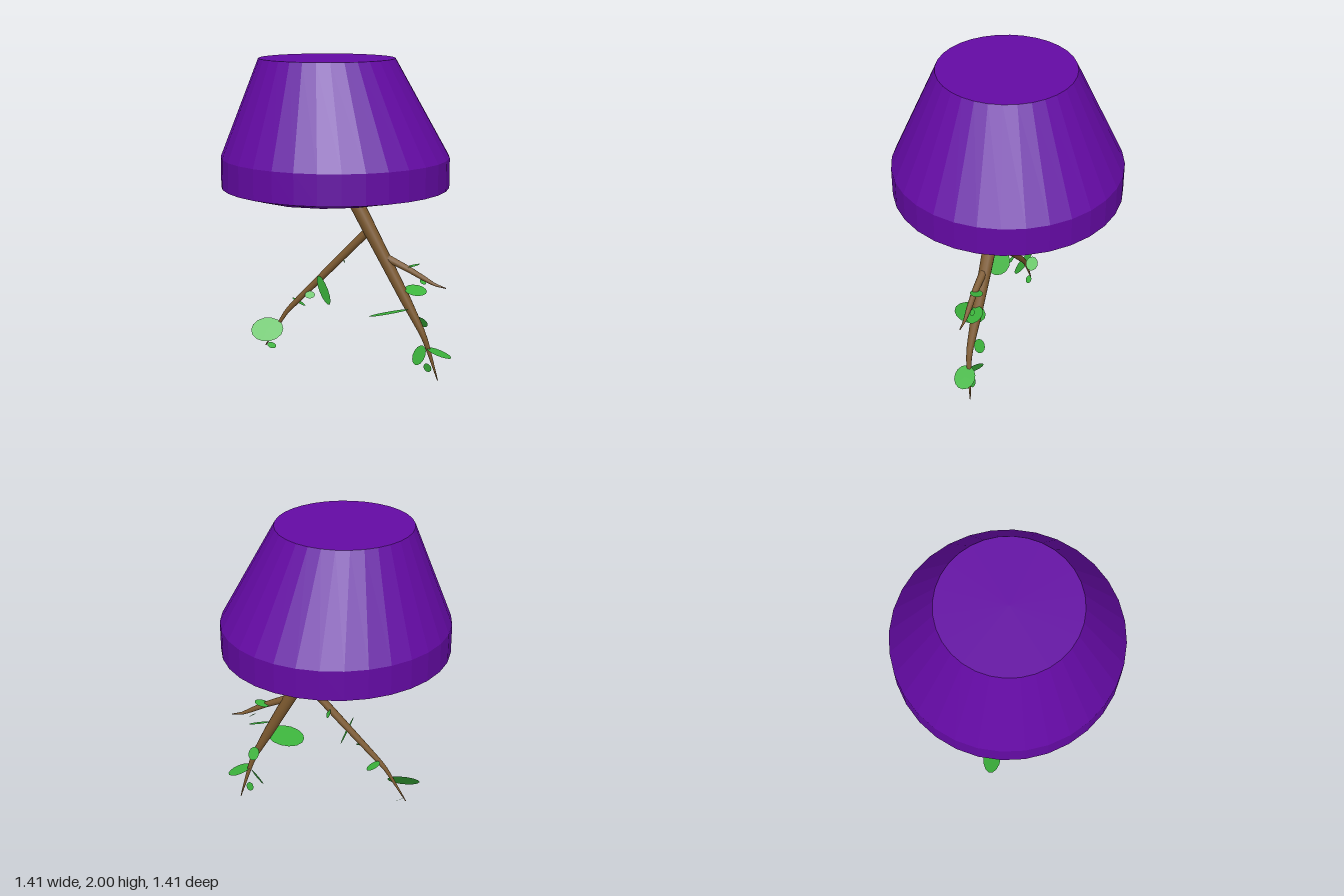
import * as THREE from 'three';

const V = (a) => new THREE.Vector3(...a);
const material = (name, color, flatShading) => {
  const m = new THREE.MeshStandardMaterial({ color, flatShading });
  m.name = name;
  return m;
};

export function createModel() {
  const purple = material('purple glaze', 0x640aa4, true);
  const indigo = material('indigo lining', 0x4410a0, true);
  const bark = material('bark brown', 0x7c592f, false);
  const green = material('leaf green', 0x3cb43c, true);
  green.side = THREE.DoubleSide;

  const model = new THREE.Group();
  model.name = 'hangingPlanter';
  const add = (name, geometry, mat, parent = model) => {
    const mesh = new THREE.Mesh(geometry, mat);
    mesh.name = name;
    parent.add(mesh);
    return mesh;
  };

  // Upside-down pot: turned profiles with a slightly offset base and a sixteen-sided mouth
  const side = Math.PI / 8;
  const turned = (profile, segments) => {
    const g = new THREE.LatheGeometry(profile.map(([r, y]) => new THREE.Vector2(r, y)), segments);
    const p = g.attributes.position;
    for (let i = 0; i < p.count; i++) {
      let x = p.getX(i), y = p.getY(i), z = p.getZ(i);
      if (y < 1.2) {
        const t = (Math.atan2(x, z) + 2 * Math.PI + 1e-5) % side;
        const k = Math.cos(side / 2) / Math.cos(t - side / 2);
        x *= k;
        z *= k;
        y += 0.018 * x;
      }
      if (y > 1.4) x -= 0.052 * (y - 1.4) / 0.6;
      p.setXYZ(i, x, y, z);
    }
    g.computeVertexNormals();
    return g;
  };
  const pot = new THREE.Group();
  pot.name = 'pot';
  model.add(pot);
  add('potShell', turned([[0.53, 1.172], [0.705, 1.215], [0.705, 1.4], [0.417, 2], [0, 2]], 32), purple, pot);
  add('potLining', turned([[0.48, 1.485], [0.53, 1.172]], 16), indigo, pot);
  add('soil', turned([[0, 1.485], [0.48, 1.485]], 16), bark, pot);

  // Tapering limbs: a tube along a curve, each ring scaled to its own radius
  const limb = (name, points, radii, sides) => {
    const curve = new THREE.CatmullRomCurve3(points.map(V), false, 'catmullrom', 0.15);
    const steps = 24;
    const g = new THREE.TubeGeometry(curve, steps, 1, sides);
    const p = g.attributes.position;
    const v = new THREE.Vector3();
    for (let i = 0; i < p.count; i++) {
      const u = Math.floor(i / (sides + 1)) / steps;
      const f = u * (radii.length - 1);
      const k = Math.min(Math.floor(f), radii.length - 2);
      const r = THREE.MathUtils.lerp(radii[k], radii[k + 1], f - k);
      const c = curve.getPointAt(u);
      v.fromBufferAttribute(p, i).sub(c).multiplyScalar(r).add(c);
      p.setXYZ(i, v.x, v.y, v.z);
    }
    add(name, g, bark);
  };
  limb('stem', [[-0.06, 1.5, -0.02], [0.085, 1.17, 0.07], [0.275, 0.76, 0.185], [0.485, 0.3, 0.315], [0.58, 0, 0.325]],
    [0.05, 0.045, 0.033, 0.003], 12);
  limb('longBranch', [[0.18, 0.94, 0.12], [-0.05, 0.66, -0.02], [-0.28, 0.38, -0.155], [-0.41, 0.14, -0.22]],
    [0.026, 0.024, 0.018, 0.003], 10);
  limb('shortBranch', [[0.26, 0.79, 0.18], [0.4, 0.715, 0.265], [0.54, 0.63, 0.34], [0.605, 0.61, 0.38]],
    [0.025, 0.021, 0.016, 0.003], 10);

  // Leaves: centre, facing direction, length
  const leaves = [
    [[-0.09, 0.56, 0.06], [0.82, 0.4, 0.4], 0.195],
    [[-0.41, 0.262, -0.165], [-0.3, 0.65, 0.7], 0.21],
    [[0.445, 0.58, 0.27], [0, 0.9, 0.4], 0.14],
    [[0.27, 0.45, 0.28], [-0.12, 0.95, -0.24], 0.25],
    [[0.495, 0.365, 0.25], [0.6, 0.5, -0.5], 0.09],
    [[0.47, 0.16, 0.28], [0.82, -0.45, -0.25], 0.13],
    [[0.52, 0.08, 0.3], [0.65, 0.2, -0.65], 0.06],
    [[0.575, 0.19, 0.355], [0.33, 0.93, 0.12], 0.165],
    [[0.485, 0.635, 0.29], [0.3, 0.7, 0.6], 0.045],
    [[0.425, 0.733, 0.255], [-0.22, 0.95, -0.15], 0.1],
    [[-0.155, 0.507, -0.045], [-0.2, 0.6, 0.6], 0.065],
    [[-0.195, 0.425, -0.19], [0.5, 0.85, 0.1], 0.1],
    [[-0.375, 0.142, -0.2], [0.2, 0.7, 0.6], 0.06],
    [[0.05, 0.74, 0], [0.9, 0.4, 0], 0.06],
  ];
  const foliage = new THREE.Group();
  foliage.name = 'leaves';
  model.add(foliage);
  const disc = new THREE.CircleGeometry(0.5, 14);
  for (const [centre, facing, length] of leaves) {
    // Steep leaves hang downward and are rounder; flat ones spread sideways
    const n = V(facing).normalize();
    const hanging = n.x > 0.55;
    const a = V(hanging ? [0, -1, 0] : [1, 0, 0.3]).projectOnPlane(n).normalize();
    const b = new THREE.Vector3().crossVectors(n, a);
    const leaf = add('leaf', disc, green, foliage);
    leaf.quaternion.setFromRotationMatrix(new THREE.Matrix4().makeBasis(a, b, n));
    leaf.position.set(...centre);
    leaf.scale.set(length, length * (hanging ? 0.92 : 0.8), 1);
  }
  return model;
}
